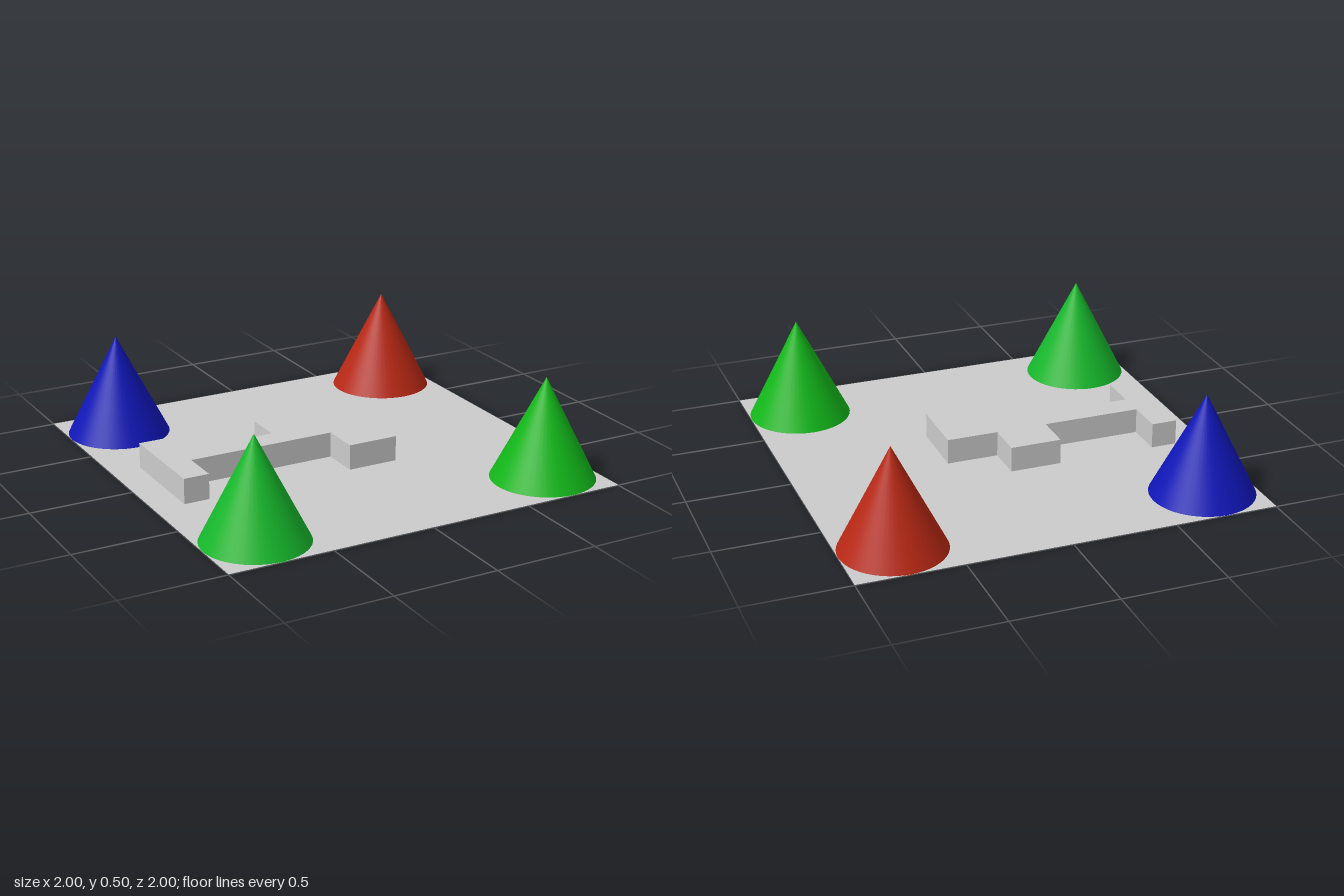
import * as THREE from 'three';

const material = (color, side = THREE.FrontSide) => new THREE.MeshStandardMaterial({ color, side });

export function createModel() {
  const group = new THREE.Group();
  const add = (name, geometry, mat) => {
    const mesh = new THREE.Mesh(geometry, mat);
    mesh.name = name;
    group.add(mesh);
    return mesh;
  };

  // Thin square ground sheet, a hair above the cone bases
  const sheet = new THREE.PlaneGeometry(2, 2).rotateX(-Math.PI / 2);
  add('groundSheet', sheet, material(0xcccccc, THREE.DoubleSide)).position.y = 0.002;

  // Corner cones
  const radius = 0.25, height = 0.495;
  const cone = new THREE.ConeGeometry(radius, height, 48).translate(0, height / 2, 0);
  const corners = [
    ['frontLeftCone', 0.75, 0.75, 0x12b81a],
    ['frontRightCone', -0.75, 0.75, 0x16b82c],
    ['backLeftCone', 0.75, -0.75, 0xb82814],
    ['backRightCone', -0.75, -0.75, 0x1016b8],
  ];
  for (const [name, x, z, color] of corners) {
    add(name, cone, material(color)).position.set(x, 0, z);
  }

  // Low wall: end bar, long connecting bar and two offset blocks, as x, z outline
  const outline = [
    [-0.855, -0.25], [-0.73, -0.25], [-0.73, -0.065], [-0.25, -0.065], [-0.25, -0.25],
    [0, -0.25], [0, -0.065], [0.25, -0.065], [0.25, 0.25], [0, 0.25],
    [0, 0.06], [-0.73, 0.06], [-0.73, 0.25], [-0.855, 0.25],
  ];
  const shape = new THREE.Shape(outline.map(([x, z]) => new THREE.Vector2(x, -z)));
  const wall = new THREE.ExtrudeGeometry(shape, { depth: 0.123, bevelEnabled: false });
  add('lowWall', wall.rotateX(-Math.PI / 2), material(0xcccccc)).position.y = 0.005;

  return group;
}
